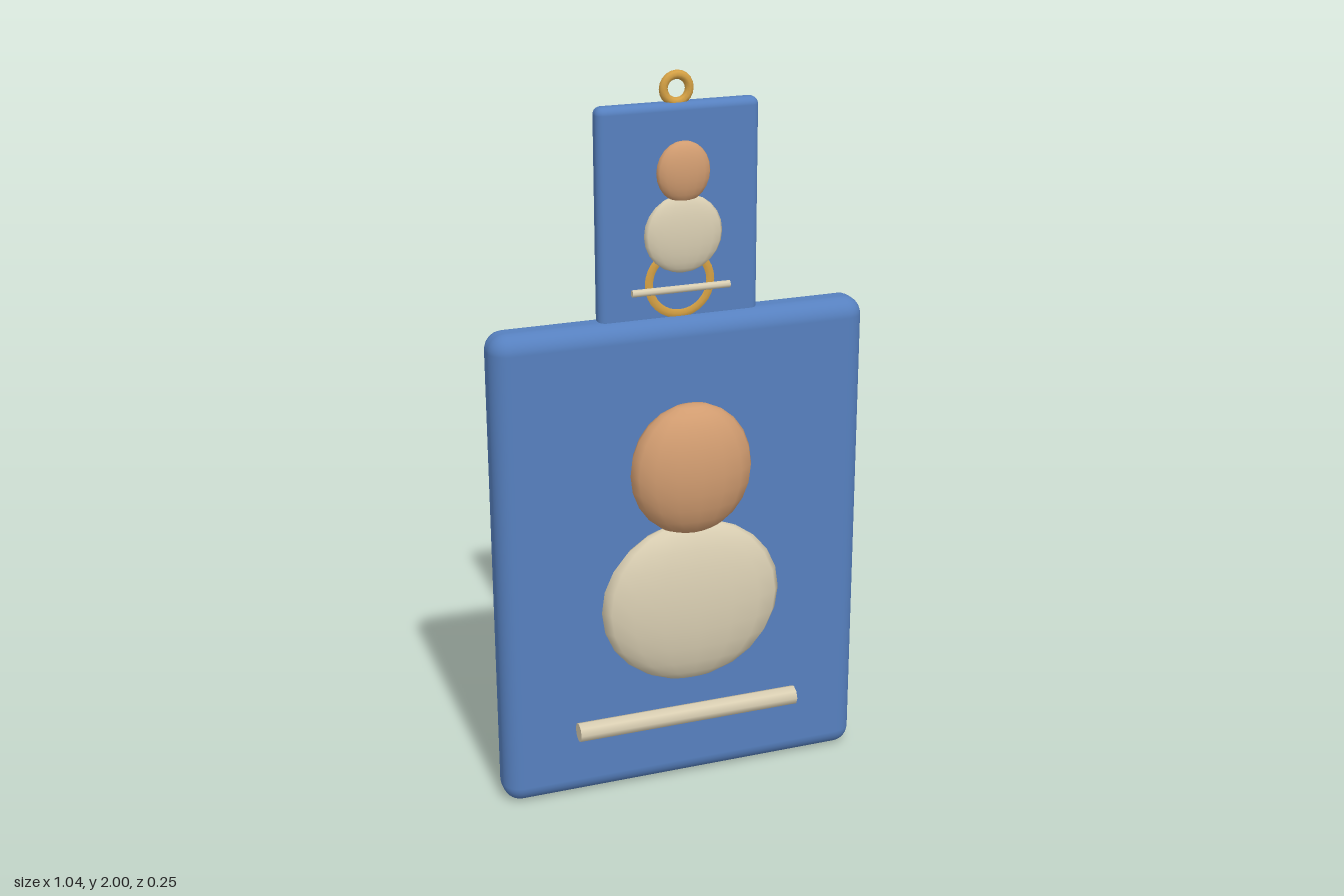
import * as THREE from 'three';
import { RoundedBoxGeometry } from 'three/addons/geometries/RoundedBoxGeometry.js';

function material(name, color) {
  const m = new THREE.MeshStandardMaterial({ color });
  m.name = name;
  return m;
}

export function createModel() {
  const blue = material('blue', 0x5680bf);
  const tan = material('tan', 0xd19c70);
  const cream = material('cream', 0xd9ceb2);
  const gold = material('gold', 0xd4a044);

  const model = new THREE.Group();
  model.name = 'plaque';

  function add(parent, name, geometry, mat, x, y, z) {
    const mesh = new THREE.Mesh(geometry, mat);
    mesh.name = name;
    mesh.position.set(x, y, z);
    parent.add(mesh);
    return mesh;
  }

  // Flattened ball, given by its three radii
  const ellipsoid = (rx, ry, rz) => new THREE.SphereGeometry(1, 16, 12).scale(rx, ry, rz);
  const bar = (radius, length) => new THREE.CylinderGeometry(radius, radius, length, 8).rotateZ(Math.PI / 2);

  // Large lower panel with its relief figure
  const lower = new THREE.Group();
  lower.name = 'lowerPanel';
  model.add(lower);
  add(lower, 'largeBoard', new RoundedBoxGeometry(1.04, 1.36, 0.12, 4, 0.05), blue, 0, 0.68, -0.068);
  add(lower, 'largeHead', ellipsoid(0.17, 0.185, 0.085), tan, 0, 0.96, 0.042);
  add(lower, 'largeBody', ellipsoid(0.255, 0.235, 0.068), cream, 0, 0.575, 0.042);
  add(lower, 'largeBar', bar(0.027, 0.64), cream, 0, 0.213, 0.019);

  // Small upper panel with a matching figure
  const upper = new THREE.Group();
  upper.name = 'upperPanel';
  model.add(upper);
  add(upper, 'smallBoard', new RoundedBoxGeometry(0.44, 0.58, 0.05, 4, 0.02), blue, 0, 1.63, -0.071);
  add(upper, 'smallHead', ellipsoid(0.073, 0.08, 0.03), tan, 0, 1.75, -0.018);
  add(upper, 'smallBody', ellipsoid(0.107, 0.104, 0.026), cream, 0, 1.588, -0.019);
  add(upper, 'smallBar', bar(0.01, 0.27), cream, 0, 1.435, -0.035);

  // Ring set through the small board, just proud of both faces
  add(upper, 'insetRing', new THREE.TorusGeometry(0.085, 0.028, 12, 32), gold, 0, 1.45, -0.071);

  // Hanging loop on top
  add(model, 'hangingLoop', new THREE.TorusGeometry(0.035, 0.012, 8, 20), gold, 0, 1.953, -0.07);

  return model;
}
